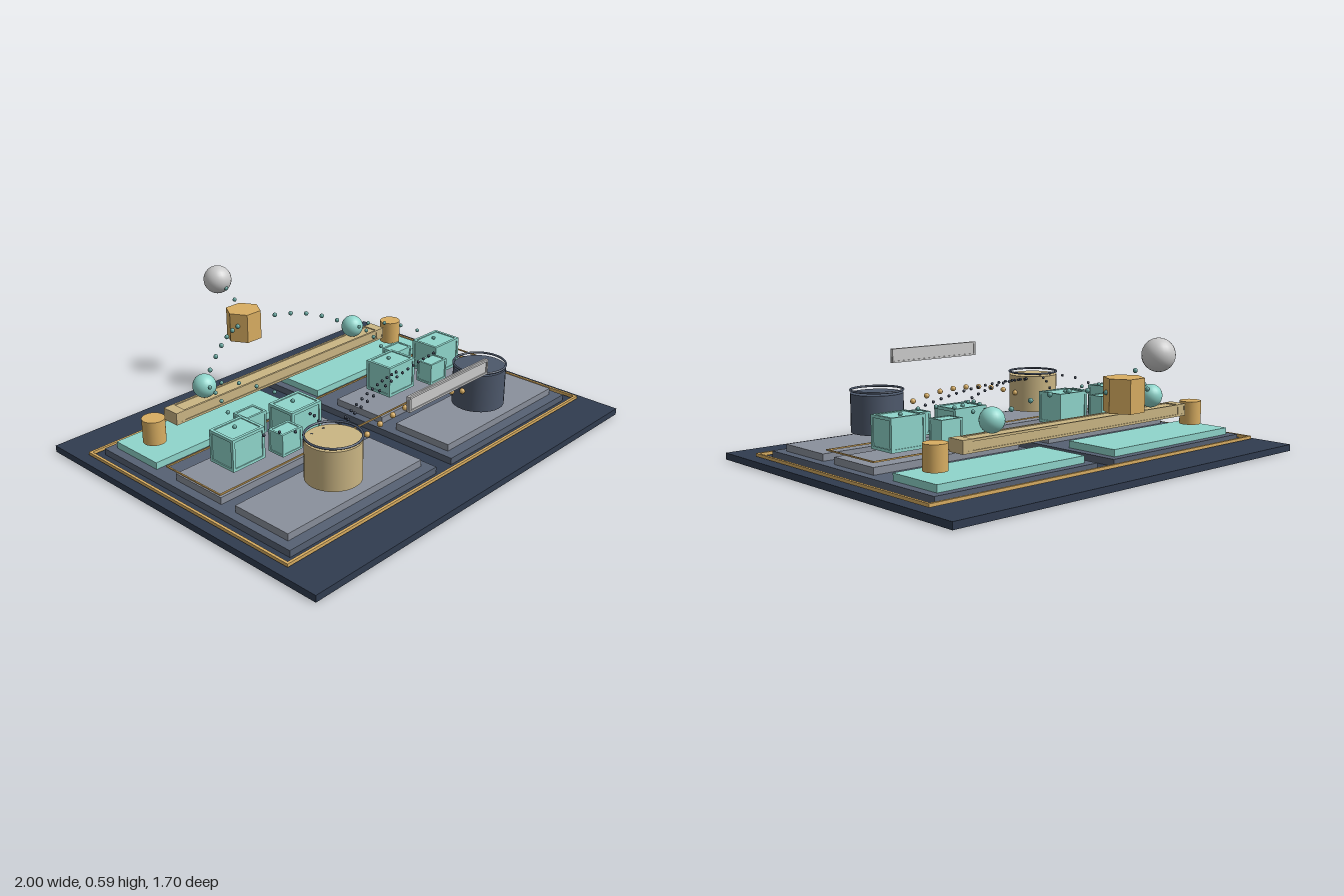
import * as THREE from 'three';

const mat = (color) => new THREE.MeshStandardMaterial({ color });
const navy = mat(0x303c50), slate = mat(0x566173), grey = mat(0x8a909c), teal = mat(0x8fd6cc);
const gold = mat(0xd9ae62), tan = mat(0xcbb684), dark = mat(0x4d586b), ink = mat(0x2b3444);
const beadTeal = mat(0x5f9f98), pale = mat(0xcccccc);

export function createModel() {
  const root = new THREE.Group();

  const add = (name, geo, material, x, y, z, parent = root) => {
    const mesh = new THREE.Mesh(geo, material);
    mesh.name = name;
    mesh.position.set(x, y, z);
    parent.add(mesh);
    return mesh;
  };

  // Box given by its limits
  const box = (name, material, x0, x1, y0, y1, z0, z1, parent) =>
    add(name, new THREE.BoxGeometry(x1 - x0, y1 - y0, z1 - z0), material,
      (x0 + x1) / 2, (y0 + y1) / 2, (z0 + z1) / 2, parent);

  // Flat rectangular outline made of four bars
  const outline = (name, material, x, z0, z1, y0, y1, w) => {
    const g = new THREE.Group();
    g.name = name;
    for (const s of [-1, 1]) {
      const c = s * (x - w / 2);
      box('sideBar', material, c - w / 2, c + w / 2, y0, y1, z0, z1, g);
    }
    for (const z of [z0, z1 - w]) box('crossBar', material, -x + w, x - w, y0, y1, z, z + w, g);
    root.add(g);
  };

  // Slightly inset box with bars along its twelve edges
  const framedBox = (name, material, [x, y, z], size, t, inset) => {
    const g = new THREE.Group();
    g.name = name;
    g.position.set(x, y, z);
    add('core', new THREE.BoxGeometry(...size.map((s) => s - 2 * inset)), material, 0, 0, 0, g);
    for (let axis = 0; axis < 3; axis++) {
      const b = (axis + 1) % 3, c = (axis + 2) % 3;
      const dims = [t, t, t];
      dims[axis] = size[axis];
      for (const i of [-1, 1]) for (const j of [-1, 1]) {
        const p = [0, 0, 0];
        p[b] = i * (size[b] - t) / 2;
        p[c] = j * (size[c] - t) / 2;
        add('edge', new THREE.BoxGeometry(...dims), material, ...p, g);
      }
    }
    root.add(g);
  };

  // Beads along a straight run lifted into an arc, from step i0 to i1 of n
  const beads = (name, material, a, b, lift, n, i0, i1, r) => {
    const g = new THREE.Group();
    g.name = name;
    const geo = new THREE.SphereGeometry(r, 10, 8);
    for (let i = i0; i <= i1; i++) {
      const t = i / n;
      const p = a.map((v, k) => v + (b[k] - v) * t);
      add('bead', geo, material, p[0], p[1] + 4 * lift * t * (1 - t), p[2], g);
    }
    root.add(g);
  };

  // Base and its borders
  box('base', navy, -1, 1, 0, 0.03, -0.735, 0.85);
  outline('outerBorder', gold, 0.955, -0.55, 0.665, 0.036, 0.05, 0.012);
  outline('innerBorder', gold, 0.882, -0.11, 0.22, 0.117, 0.123, 0.006);

  for (const s of [-1, 1]) {
    const cx = s * 0.475;
    // Platform with three raised pads
    add('platform', new THREE.BoxGeometry(0.85, 0.03, 1.13), slate, cx, 0.045, 0.055);
    [[0.425, 0.29, grey], [0.06, 0.275, grey], [-0.34, 0.27, teal]].forEach(([z, d, m]) =>
      add('pad', new THREE.BoxGeometry(0.77, 0.032, d), m, cx, 0.075, z));

    // Cluster of two large and two small crates
    for (const k of [-1, 1]) {
      framedBox('largeCrate', teal, [cx + k * 0.165, 0.19, 0.054], [0.174, 0.144, 0.142], 0.013, 0.004);
      framedBox('smallCrate', teal, [cx, 0.19, 0.057 + k * 0.107], [0.112, 0.1, 0.085], 0.01, 0.003);
      beads('crateBeads', beadTeal, [cx + k * 0.165, 0.263, 0.04], [cx, 0.27, -0.34], 0.04, 5, 0, 4, 0.009);
    }

    // Tank with a ring hovering above its rim
    add('tank', new THREE.CylinderGeometry(0.118, 0.118, 0.175, 32), s < 0 ? tan : dark, cx, 0.205, 0.435);
    const ring = add('tankRing', new THREE.TorusGeometry(0.117, 0.005, 8, 40), dark, cx, 0.306, 0.435);
    ring.rotation.x = Math.PI / 2;

    // Post, orb and bead stream to the hub
    add('post', new THREE.CylinderGeometry(0.05, 0.05, 0.108, 24), gold, s * 0.76, 0.161, -0.34);
    add('orb', new THREE.SphereGeometry(0.053, 24, 16), teal, cx, 0.267, -0.34);
    beads('hubBeads', beadTeal, [cx, 0.265, -0.34], [0, 0.34, -0.61], 0.064, 7, 1, 6, 0.011);
  }

  // Rear beam
  framedBox('beam', tan, [-0.005, 0.187, -0.34], [1.33, 0.055, 0.085], 0.01, 0.004);
  for (const x of [-0.645, 0.635])
    box('beamCap', tan, x - 0.025, x + 0.025, 0.16, 0.215, -0.382, -0.298);

  // Hexagonal hub and the globe behind it
  const hub = add('hub', new THREE.CylinderGeometry(0.086, 0.086, 0.14, 6), gold, 0, 0.35, -0.605);
  hub.rotation.y = Math.PI / 6;
  hub.material = gold.clone();
  hub.material.flatShading = true;
  add('globe', new THREE.SphereGeometry(0.067, 24, 16), pale, 0, 0.525, -0.783);
  beads('globeBeads', beadTeal, [0, 0.4, -0.605], [0, 0.525, -0.783], 0.012, 3, 1, 2, 0.01);

  // Bead streams from the tan tank to the crates, and between the tanks
  const start = [-0.475, 0.27, 0.405];
  for (const x of [-0.64, -0.31])
    beads('feedBeads', ink, start, [x, 0.225, 0.12], 0.042, 5, 1, 4, 0.007);
  beads('feedBeads', ink, start, [0.31, 0.225, 0.115], 0.042, 14, 2, 13, 0.007);
  beads('feedBeads', ink, start, [0.64, 0.225, 0.1], 0.042, 20, 2, 18, 0.007);
  beads('tankBeads', gold, [-0.355, 0.208, 0.435], [0.355, 0.208, 0.435], 0.06, 9, 0, 9, 0.013);

  // Floating front panel
  framedBox('frontPanel', pale, [0, 0.422, 0.626], [0.506, 0.066, 0.018], 0.008, 0.005);

  return root;
}
